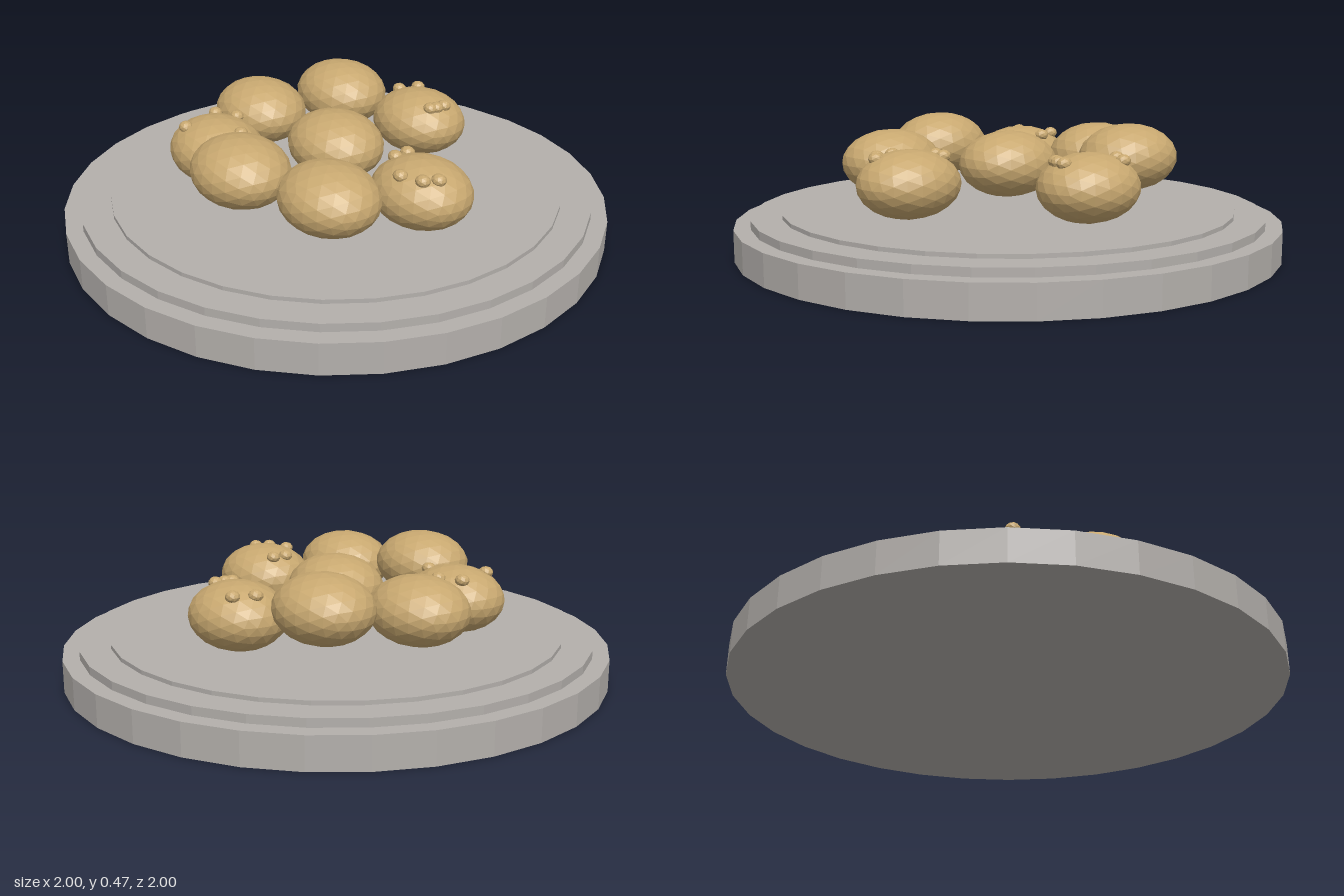
import * as THREE from 'three';

export function createModel() {
  const model = new THREE.Group();
  const material = (name, color) => {
    const m = new THREE.MeshStandardMaterial({ color, flatShading: true });
    m.name = name;
    return m;
  };
  const stone = material('grey stone', 0xb4b0ac);
  const dough = material('golden dough', 0xc8a870);

  // Stepped round plate: radius, bottom, top
  const plate = new THREE.Group();
  plate.name = 'plate';
  [['plateBase', 1, 0, 0.115], ['plateStep', 0.94, 0.115, 0.145], ['plateTop', 0.83, 0.145, 0.16]]
    .forEach(([name, r, y0, y1]) => {
      const disc = new THREE.Mesh(new THREE.CylinderGeometry(r, r, y1 - y0, 32), stone);
      disc.name = name;
      disc.position.y = (y0 + y1) / 2;
      plate.add(disc);
    });
  model.add(plate);

  // Flattened buns: seven around a ring at three heights, one in the middle
  const bunShape = new THREE.IcosahedronGeometry(1, 3).scale(0.19, 0.122, 0.168);
  const bumpShape = new THREE.IcosahedronGeometry(1, 1).scale(0.028, 0.022, 0.026);

  // Bump offsets (x, z) for each bun of the lowest layer
  const bumps = {
    0: [[-0.115, -0.045], [-0.12, 0.01], [0, 0.105], [0.08, 0.08], [0.11, 0.035]],
    3: [[-0.1, -0.07], [-0.02, -0.11], [0.115, -0.025], [-0.065, 0.09]],
    6: [[-0.085, -0.08], [-0.12, -0.01], [0.12, -0.01], [0.115, 0.025], [0.105, 0.05]],
  };

  for (let i = 0; i < 8; i++) {
    const ring = i < 7 ? 0.44 : 0;
    const angle = (i * Math.PI) / 4;
    const bun = new THREE.Group();
    bun.name = i < 7 ? 'ringBun' : 'centreBun';
    bun.position.set(ring * Math.cos(angle), 0.28 + (i % 3) * 0.032, ring * Math.sin(angle));
    const body = new THREE.Mesh(bunShape, dough);
    body.name = 'bunBody';
    bun.add(body);
    for (const [x, z] of bumps[i] || []) {
      const bump = new THREE.Mesh(bumpShape, dough);
      bump.name = 'bunBump';
      bump.position.set(x, 0.094, z);
      bun.add(bump);
    }
    model.add(bun);
  }
  return model;
}
